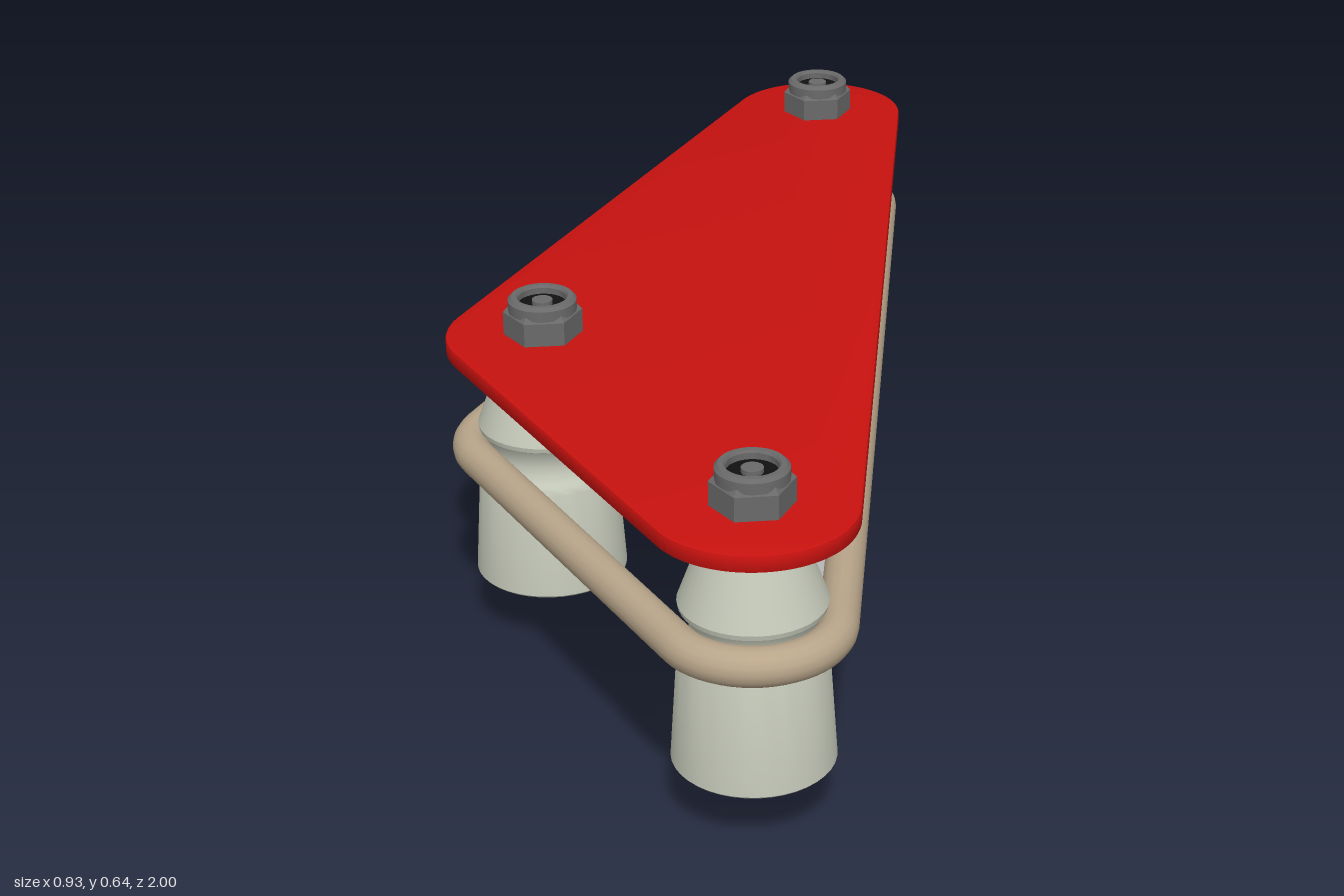
import * as THREE from 'three';
import { toCreasedNormals } from 'three/addons/utils/BufferGeometryUtils.js';

const mat = (color, extra = {}) => new THREE.MeshStandardMaterial({ color, ...extra });
const RED = mat(0xc8120f), POST = mat(0xc4c8b8), BELT = mat(0xb8a58a), STEEL = mat(0x6a6a6a);
const GREY = mat(0xcccccc), BLACK = mat(0x111111), COPPER = mat(0xd08040), DARK = mat(0x8899a0);

// post centres as [x, z], counterclockwise seen from above
const POSTS = [[-0.3, -0.83], [-0.3, 0.39], [0.295, 0.825]];
// angle of the long belt run, and its outward direction
const SKEW = Math.atan2(0.595, 1.655);

function add(parent, name, geometry, material, x = 0, y = 0, z = 0) {
  const mesh = new THREE.Mesh(geometry, material);
  mesh.name = name;
  mesh.position.set(x, y, z);
  parent.add(mesh);
  return mesh;
}

function lathe(points, segments = 40) {
  const g = new THREE.LatheGeometry(points.map(p => new THREE.Vector2(...p)), segments);
  return toCreasedNormals(g, 0.5);
}

// rounded outline at a fixed distance around the three posts (shape y = -z)
function outline(r) {
  const c = POSTS.map(([x, z]) => new THREE.Vector2(x, -z));
  const normalAngle = (a, b) => Math.atan2(-(b.x - a.x), b.y - a.y);
  const shape = new THREE.Shape();
  c.forEach((p, i) => {
    const a0 = normalAngle(c[(i + 2) % 3], p);
    const a1 = normalAngle(p, c[(i + 1) % 3]);
    shape.absarc(p.x, p.y, r, a0, a1 < a0 ? a1 + Math.PI * 2 : a1, false);
  });
  shape.closePath();
  return shape;
}

function extrudeProfile(points, depth) {
  const shape = new THREE.Shape(points.map(p => new THREE.Vector2(...p)));
  return new THREE.ExtrudeGeometry(shape, { depth, bevelEnabled: false }).translate(0, 0, -depth / 2);
}

function makePost(x, z) {
  const g = new THREE.Group();
  g.name = 'post';
  g.position.set(x, 0, z);
  // grooved cone body
  add(g, 'postBody', lathe([
    [0, 0.113], [0.131, 0.113], [0.135, 0.117], [0.122, 0.31], [0.119, 0.319], [0.112, 0.326],
    [0.104, 0.34], [0.102, 0.357], [0.104, 0.374], [0.112, 0.389], [0.119, 0.393], [0.121, 0.402],
    [0.07, 0.54], [0, 0.54]]), POST);
  // hex nut with a round locking collar and the bolt end inside
  add(g, 'nut', new THREE.CylinderGeometry(0.069, 0.069, 0.042, 6), mat(0x6a6a6a, { flatShading: true }), 0, 0.591, 0);
  add(g, 'nutChamfer', new THREE.CylinderGeometry(0.06, 0.069, 0.01, 6), mat(0x6a6a6a, { flatShading: true }), 0, 0.617, 0);
  add(g, 'nutCollar', lathe([
    [0.06, 0.615], [0.06, 0.634], [0.054, 0.64], [0.045, 0.64], [0.042, 0.636], [0.042, 0.622]], 32), STEEL);
  add(g, 'nutBore', new THREE.CylinderGeometry(0.043, 0.043, 0.004, 32), BLACK, 0, 0.623, 0);
  add(g, 'boltEnd', new THREE.CylinderGeometry(0.018, 0.018, 0.012, 20), STEEL, 0, 0.627, 0);
  return g;
}

// two-layer strip standing against the inside of the belt, held by a rivet
function makeStrip(x, y, z) {
  const g = new THREE.Group();
  g.name = 'strip';
  g.position.set(x, y, z);
  g.rotation.y = SKEW;
  add(g, 'stripOuter', new THREE.BoxGeometry(0.008, 0.456, 0.083), GREY, 0.006, 0.228, 0);
  add(g, 'stripInner', new THREE.BoxGeometry(0.012, 0.388, 0.083), GREY, -0.004, 0.194, 0);
  const rivet = add(g, 'rivet', new THREE.SphereGeometry(0.024, 20, 14), COPPER, 0, 0.226, 0);
  rivet.scale.x = 0.75;
  return g;
}

export function createModel() {
  const model = new THREE.Group();
  model.name = 'beltAssembly';

  // top plate
  const plate = new THREE.ExtrudeGeometry(outline(0.166), {
    depth: 0.022, bevelEnabled: true, bevelThickness: 0.004, bevelSize: 0.004, bevelSegments: 2, curveSegments: 24 });
  add(model, 'topPlate', toCreasedNormals(plate.rotateX(-Math.PI / 2), 0.6), RED, 0, 0.544, 0);

  // round belt running in the grooves
  const path = outline(0.135).getSpacedPoints(240).slice(0, -1).map(p => new THREE.Vector3(p.x, 0, -p.y));
  const curve = new THREE.CatmullRomCurve3(path, true);
  add(model, 'belt', new THREE.TubeGeometry(curve, 300, 0.033, 16, true), BELT, 0, 0.357, 0);

  for (const [x, z] of POSTS) model.add(makePost(x, z));

  model.add(makeStrip(0.19, 0.037, 0.297), makeStrip(-0.045, 0.03, -0.353));

  // central guide: local x points out across the belt
  const guide = new THREE.Group();
  guide.name = 'beltGuide';
  guide.rotation.y = SKEW;
  add(guide, 'guideBar', extrudeProfile([
    [-0.027, 0], [0.079, 0], [0.079, 0.45], [0.055, 0.475], [0.0, 0.475], [-0.022, 0.445], [-0.027, 0.42]], 0.0155), GREY);
  add(guide, 'guideShoe', extrudeProfile([
    [0.06, 0.46], [-0.02, 0.40], [-0.02, 0.30], [0.033, 0.23], [0.105, 0.23], [0.113, 0.25],
    [0.113, 0.40], [0.132, 0.427], [0.158, 0.437], [0.158, 0.46]], 0.11), RED);
  const screw = add(guide, 'guideScrew', new THREE.CylinderGeometry(0.02, 0.02, 0.01, 20), DARK, 0.05, 0.33, -0.057);
  screw.rotation.x = Math.PI / 2;
  model.add(guide);

  return model;
}
